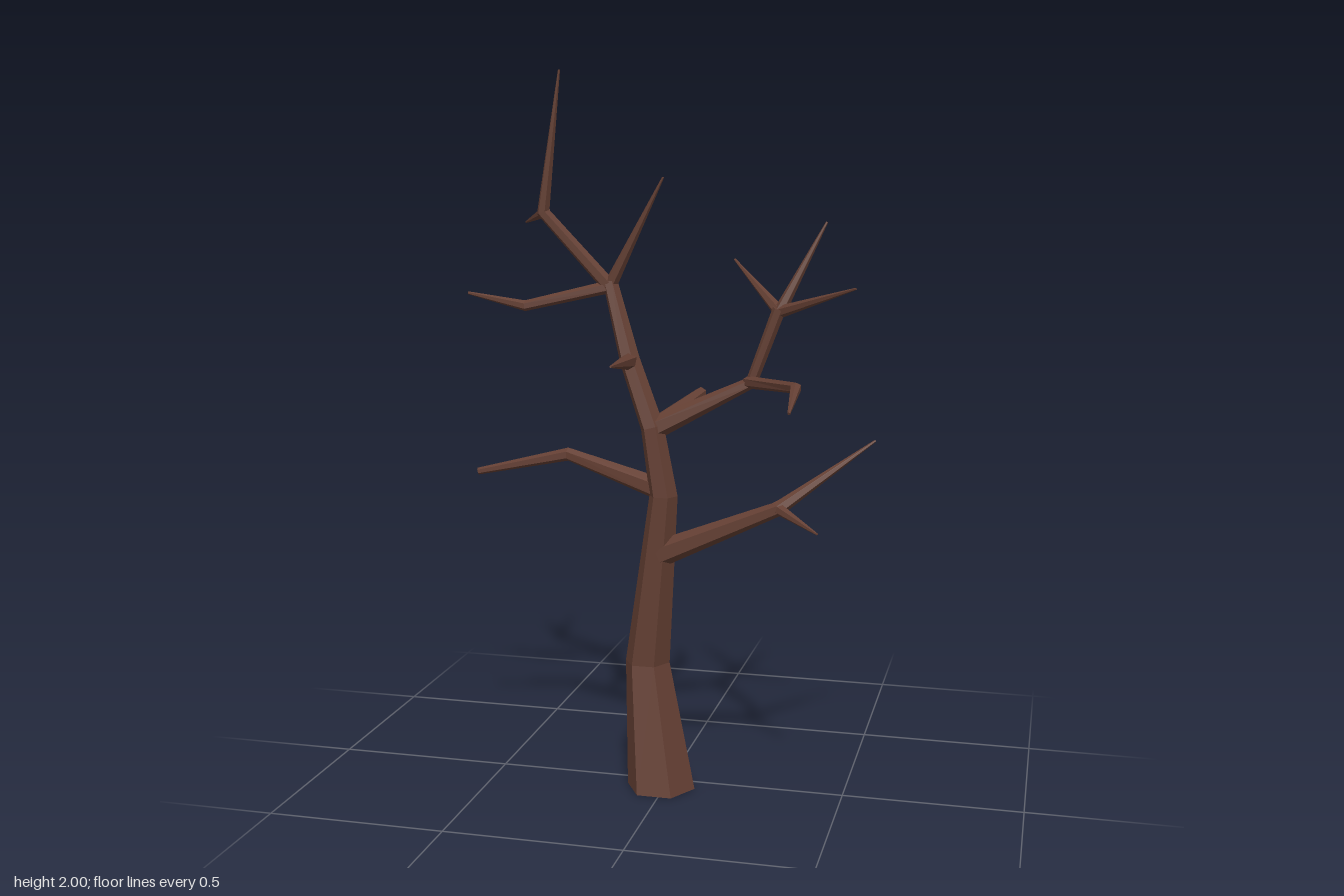
import * as THREE from 'three';

const SIDES = 6;

// Faceted limb through nodes [x, y, z, radius], mitred at each bend and capped at both ends
function limbGeometry(nodes, level) {
  const points = nodes.map(([x, y, z]) => new THREE.Vector3(x, y, z));
  const last = points.length - 1;
  const overall = points[last].clone().sub(points[0]).normalize();
  const ref = Math.abs(overall.z) < 0.75 ? new THREE.Vector3(0, 0, 1) : new THREE.Vector3(1, 0, 0);
  const positions = [];
  const index = [];

  points.forEach((p, i) => {
    const before = p.clone().sub(points[Math.max(i - 1, 0)]).normalize();
    const after = points[Math.min(i + 1, last)].clone().sub(p).normalize();
    const t = level && i < 3 ? new THREE.Vector3(0, 1, 0) : before.add(after).normalize();
    const u = new THREE.Vector3().crossVectors(t, ref).normalize();
    const w = new THREE.Vector3().crossVectors(t, u);
    for (let j = 0; j < SIDES; j++) {
      const a = (j / SIDES) * Math.PI * 2;
      const v = p.clone()
        .addScaledVector(u, Math.cos(a) * nodes[i][3])
        .addScaledVector(w, Math.sin(a) * nodes[i][3]);
      positions.push(v.x, v.y, v.z);
    }
  });

  // Side walls
  for (let i = 0; i < last; i++) {
    for (let j = 0; j < SIDES; j++) {
      const k = (j + 1) % SIDES;
      const a = i * SIDES + j, b = i * SIDES + k;
      index.push(a, b, b + SIDES, a, b + SIDES, a + SIDES);
    }
  }
  // End caps
  const end = last * SIDES;
  for (let j = 1; j < SIDES - 1; j++) {
    index.push(0, j + 1, j, end, end + j, end + j + 1);
  }

  const indexed = new THREE.BufferGeometry();
  indexed.setAttribute('position', new THREE.Float32BufferAttribute(positions, 3));
  indexed.setIndex(index);
  const geometry = indexed.toNonIndexed();
  geometry.computeVertexNormals();
  return geometry;
}

export function createModel() {
  const group = new THREE.Group();
  group.name = 'bareTree';
  const bark = new THREE.MeshStandardMaterial({ color: 0x643f33 });
  bark.name = 'bark brown';
  bark.flatShading = true;

  const limb = (name, nodes, level = false) => {
    const mesh = new THREE.Mesh(limbGeometry(nodes, level), bark);
    mesh.name = name;
    group.add(mesh);
  };

  // Trunk, wide at the foot and leaning to the crown fork
  limb('trunk', [
    [-0.012, 0, 0.053, 0.098],
    [-0.057, 0.36, 0.028, 0.064],
    [0, 0.85, 0.07, 0.04],
    [-0.03, 1.04, 0.075, 0.033],
    [-0.1, 1.22, 0.05, 0.029],
    [-0.165, 1.43, 0.012, 0.021],
  ], true);

  // Crown limbs
  limb('crownLeader', [
    [-0.16, 1.41, 0.012, 0.021], [-0.352, 1.62, 0.025, 0.019], [-0.293, 2, 0.053, 0.003],
  ]);
  limb('crownLeaderTwig', [[-0.345, 1.62, 0.03, 0.016], [-0.48, 1.583, -0.205, 0.003]]);
  limb('crownInnerBranch', [[-0.168, 1.415, 0.012, 0.019], [-0.005, 1.715, 0.053, 0.003]]);
  limb('crownOuterBranch', [
    [-0.155, 1.42, 0.012, 0.018], [-0.4, 1.363, 0.05, 0.015], [-0.565, 1.396, 0.054, 0.004],
  ]);

  // Short spur on the front of the upper trunk
  limb('frontSpur', [[-0.1, 1.217, 0.04, 0.026], [-0.084, 1.233, 0.3, 0.003]]);

  // Lower branch on the -x side
  limb('lowerSideBranch', [
    [0.005, 0.86, 0.06, 0.033], [-0.3, 0.938, -0.015, 0.019], [-0.565, 0.88, 0.003, 0.01],
  ]);

  // Branch reaching to the back
  limb('backBranch', [
    [-0.02, 1.045, 0.07, 0.027], [0.042, 1.098, -0.205, 0.018], [-0.018, 1.045, -0.39, 0.005],
  ]);

  // Middle branch on the +x side, with a front twig and a three-way tip
  limb('middleBranch', [
    [-0.02, 1.04, 0.07, 0.032], [0.24, 1.17, 0.052, 0.017], [0.315, 1.37, 0.06, 0.018],
  ]);
  limb('middleFrontTwig', [
    [0.23, 1.17, 0.05, 0.017], [0.4, 1.192, 0.287, 0.015], [0.4, 1.142, 0.39, 0.004],
  ]);
  const middleTips = [[0.16, 1.49, -0.105], [0.435, 1.6, 0.03], [0.535, 1.438, 0.19]];
  middleTips.forEach((tip, i) => {
    limb(`middleTipTwig${i + 1}`, [[0.315, 1.362, 0.055, 0.017], [...tip, 0.003]]);
  });

  // Lower branch on the +x side, forking at its end
  limb('lowerForkedBranch', [
    [-0.01, 0.685, 0.065, 0.038], [0.325, 0.835, 0.095, 0.02], [0.565, 1.005, -0.06, 0.003],
  ]);
  limb('lowerForkTwig', [[0.315, 0.838, 0.085, 0.018], [0.45, 0.8, 0.22, 0.003]]);

  return group;
}
